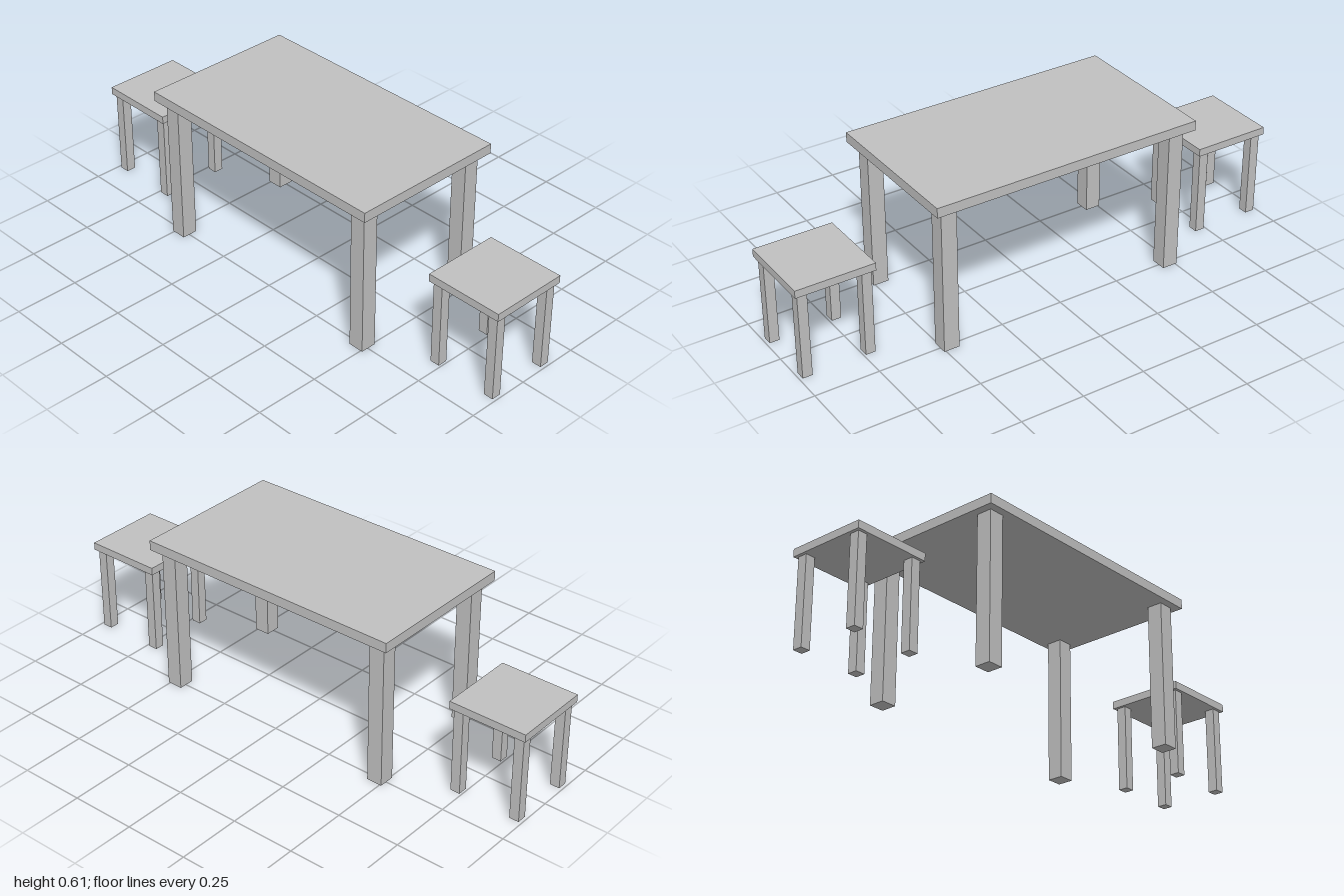
import * as THREE from 'three';

const grey = new THREE.MeshStandardMaterial({ color: 0xc0c0c0 });
grey.name = 'plain grey';

function box(name, w, h, d, x, y, z) {
  const mesh = new THREE.Mesh(new THREE.BoxGeometry(w, h, d), grey);
  mesh.name = name;
  mesh.position.set(x, y, z);
  return mesh;
}

// A flat slab on four square legs, standing on y = 0
function slabOnLegs(name, { width, depth, height, thickness, leg, legX, legZ }) {
  const group = new THREE.Group();
  group.name = name;
  const legHeight = height - thickness;
  group.add(box(name + 'Top', width, thickness, depth, 0, height - thickness / 2, 0));
  for (const sx of [-1, 1]) {
    for (const sz of [-1, 1]) {
      const legName = name + (sz > 0 ? 'Front' : 'Back') + (sx > 0 ? 'Left' : 'Right') + 'Leg';
      group.add(box(legName, leg, legHeight, leg, sx * legX, legHeight / 2, sz * legZ));
    }
  }
  return group;
}

export function createModel() {
  const model = new THREE.Group();
  model.name = 'tableWithStools';

  // Table
  model.add(slabOnLegs('table', {
    width: 1.076, depth: 0.615, height: 0.609, thickness: 0.038,
    leg: 0.0615, legX: 0.476, legZ: 0.247,
  }));

  // One stool at each end
  for (const side of [-1, 1]) {
    const stool = slabOnLegs(side > 0 ? 'leftStool' : 'rightStool', {
      width: 0.308, depth: 0.308, height: 0.369, thickness: 0.03,
      leg: 0.038, legX: 0.123, legZ: 0.123,
    });
    stool.position.x = side * 0.846;
    model.add(stool);
  }
  return model;
}
